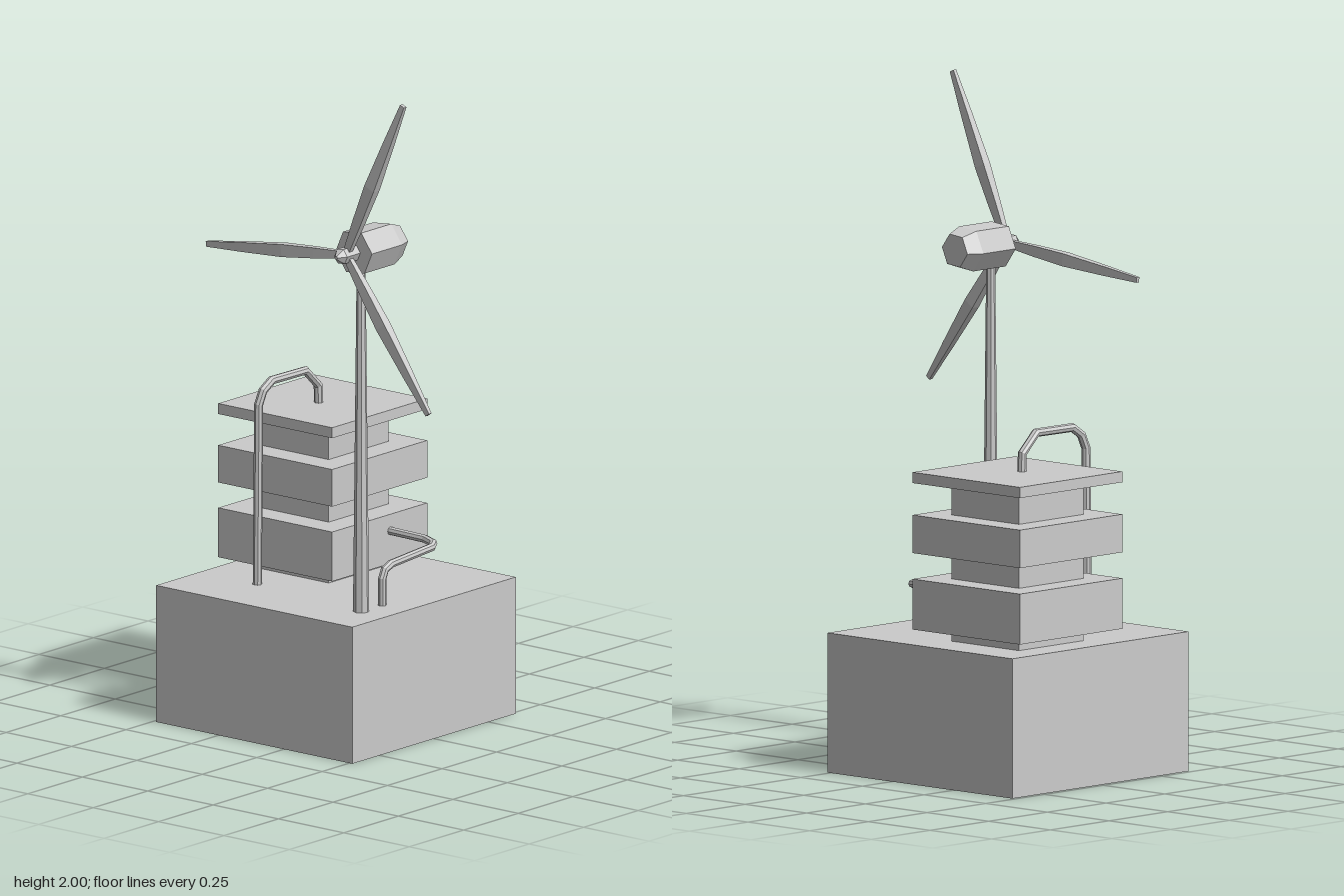
import * as THREE from 'three';

const material = new THREE.MeshStandardMaterial({ color: 0xcccccc, flatShading: true, side: THREE.DoubleSide });

function add(parent, name, geometry, x = 0, y = 0, z = 0) {
  const mesh = new THREE.Mesh(geometry, material);
  mesh.name = name;
  mesh.position.set(x, y, z);
  parent.add(mesh);
  return mesh;
}

// Curve whose samples land exactly on the given corner points
class Polyline extends THREE.Curve {
  constructor(points) {
    super();
    this.points = points.map((p) => new THREE.Vector3(...p));
  }
  index(t) {
    return Math.round(t * (this.points.length - 1));
  }
  getPointAt(t, target = new THREE.Vector3()) {
    return target.copy(this.points[this.index(t)]);
  }
  getTangentAt(t, target = new THREE.Vector3()) {
    const p = this.points, i = this.index(t);
    target.set(0, 0, 0);
    if (i > 0) target.add(p[i].clone().sub(p[i - 1]).normalize());
    if (i < p.length - 1) target.add(p[i + 1].clone().sub(p[i]).normalize());
    return target.normalize();
  }
}

const pipe = (points, radius) =>
  new THREE.TubeGeometry(new Polyline(points), points.length - 1, radius, 8, false);

// Six-sided solid along z from [radius, z] pairs, a corner pointing to +x
function hexSolid(profile) {
  const points = profile.map(([r, z]) => new THREE.Vector2(r, z));
  return new THREE.LatheGeometry(points, 6, Math.PI / 6).rotateX(Math.PI / 2);
}

// Blade pointing along +x, widest a little under half way
function bladeGeometry() {
  const stations = [[0.015, 0.011, 0.008], [0.12, 0.016, 0.011], [0.24, 0.019, 0.014],
    [0.4, 0.014, 0.01], [0.535, 0.008, 0.006]];
  const geometry = new THREE.BoxGeometry(4, 2, 2, 4, 1, 1);
  const position = geometry.attributes.position;
  for (let i = 0; i < position.count; i++) {
    const [r, width, depth] = stations[Math.round(position.getX(i) + 2)];
    position.setXYZ(i, r, position.getY(i) * width, position.getZ(i) * depth);
  }
  geometry.computeVertexNormals();
  return geometry;
}

export function createModel() {
  const model = new THREE.Group();
  model.name = 'windTurbineStation';

  // Hollow base, open underneath
  const base = new THREE.BoxGeometry(0.75, 0.415, 0.75);
  const index = Array.from(base.index.array);
  index.splice(18, 6);
  base.setIndex(index);
  base.clearGroups();
  add(model, 'base', base, -0.114, 0.2075, 0);

  // Tower block: core with overhanging tiers
  const block = new THREE.Group();
  block.name = 'towerBlock';
  block.position.set(-0.254, 0, -0.107);
  model.add(block);
  const slabs = [
    ['core', 0.274, 0.415, 0.89], ['lowerTier', 0.436, 0.45, 0.6],
    ['upperTier', 0.436, 0.677, 0.79], ['roof', 0.436, 0.885, 0.917],
  ];
  for (const [name, width, bottom, top] of slabs) {
    add(block, name, new THREE.BoxGeometry(width, top - bottom, width), 0, (bottom + top) / 2, 0);
  }

  // Pipes: base to roof, and base to the block's side
  add(model, 'roofPipe', pipe([
    [-0.27, 0.31, 0.175], [-0.268, 0.96, 0.17], [-0.264, 1, 0.155], [-0.26, 1.025, 0.12],
    [-0.256, 1.025, -0.03], [-0.255, 0.97, -0.087], [-0.255, 0.9, -0.09],
  ], 0.0135));
  add(model, 'sidePipe', pipe([
    [-0.06, 0.55, -0.156], [0.1, 0.549, -0.152], [0.145, 0.547, -0.135], [0.164, 0.544, -0.105],
    [0.166, 0.532, 0.085], [0.166, 0.52, 0.112], [0.166, 0.495, 0.124], [0.166, 0.31, 0.124],
  ], 0.0125));

  // Mast
  add(model, 'mast', new THREE.CylinderGeometry(0.013, 0.024, 1.07, 8), 0.163, 0.95, 0.217);

  // Nacelle and rotor
  const head = new THREE.Group();
  head.name = 'turbineHead';
  head.position.set(0.165, 1.512, 0);
  head.rotation.z = THREE.MathUtils.degToRad(6);
  model.add(head);
  add(head, 'nacelle', hexSolid([[0, 0.066], [0.052, 0.066], [0.07, 0.115], [0.07, 0.253], [0, 0.253]]));
  add(head, 'hub', hexSolid([[0, 0.25], [0.025, 0.25], [0.025, 0.312], [0.006, 0.334], [0, 0.334]]));
  const blade = bladeGeometry();
  for (let i = 0; i < 3; i++) {
    add(head, 'blade', blade, 0, 0, 0.287).rotation.z = Math.PI / 3 + (i * 2 * Math.PI) / 3;
  }
  return model;
}
